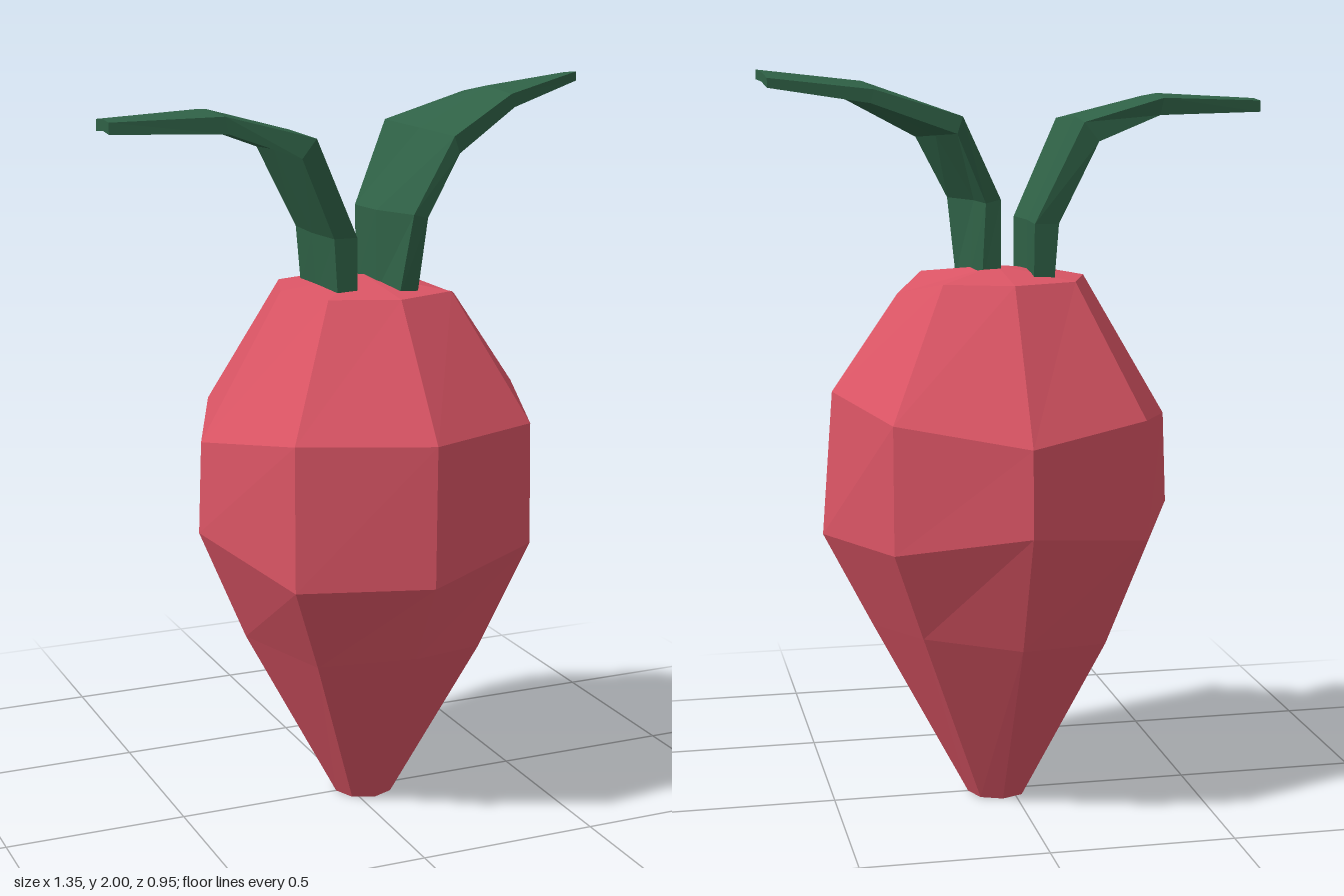
import * as THREE from 'three';

const rootRed = new THREE.MeshStandardMaterial({ color: 0xdb5565 });
rootRed.name = 'root red';
const leafGreen = new THREE.MeshStandardMaterial({ color: 0x2f6146 });
leafGreen.name = 'leaf green';

// Skin a list of closed rings and cap both ends with a fan around a centre point
function loft(rings, endCentre) {
  const pos = [];
  const tri = (...pts) => pts.forEach((p) => pos.push(...p));
  const n = rings[0].length;
  const middle = (ring) => [0, 1, 2].map((k) => ring.reduce((s, p) => s + p[k], 0) / n);
  const first = rings[0];
  const last = rings[rings.length - 1];
  const startMid = middle(first);
  const endMid = endCentre || middle(last);
  for (let j = 0; j < n; j++) {
    const k = (j + 1) % n;
    for (let i = 0; i < rings.length - 1; i++) {
      const lo = rings[i];
      const hi = rings[i + 1];
      tri(lo[j], lo[k], hi[k]);
      tri(lo[j], hi[k], hi[j]);
    }
    tri(first[k], first[j], startMid);
    tri(last[j], last[k], endMid);
  }
  const geometry = new THREE.BufferGeometry();
  geometry.setAttribute('position', new THREE.Float32BufferAttribute(pos, 3));
  geometry.computeVertexNormals(); // unshared corners give flat facets
  return geometry;
}

// Irregular eight-sided root; each ring lists radii and heights from the front round via +x
function createRoot() {
  const centreX = 0.04;
  const profile = [
    { r: Array(8).fill(0.083), y: Array(8).fill(0) },
    { r: [0.35, 0.34, 0.347, 0.35, 0.35, 0.35, 0.35, 0.33], y: [0.5, 0.47, 0.5, 0.52, 0.5, 0.48, 0.5, 0.47] },
    { r: [0.47, 0.48, 0.48, 0.475, 0.475, 0.475, 0.48, 0.475], y: [0.73, 0.78, 0.76, 0.77, 0.83, 0.78, 0.81, 0.72] },
    { r: [0.475, 0.475, 0.45, 0.475, 0.47, 0.47, 0.47, 0.475], y: [1.11, 1.11, 1.15, 1.11, 1.06, 1.1, 1.06, 1.11] },
    { r: [0.245, 0.25, 0.27, 0.25, 0.245, 0.25, 0.24, 0.25], y: [1.45, 1.45, 1.41, 1.45, 1.45, 1.45, 1.45, 1.45] },
  ];
  const rings = profile.map(({ r, y }) => r.map((radius, j) => {
    const a = (j * Math.PI) / 4;
    return [centreX + radius * Math.sin(a), y[j], radius * Math.cos(a)];
  }));
  const mesh = new THREE.Mesh(loft(rings, [centreX, 1.48, 0]), rootRed);
  mesh.name = 'root';
  return mesh;
}

// Leaf stations: back edge, midrib and front edge of the upper skin, then [dx, dy] to the underside
function createLeaf(name, stations, flip) {
  const rings = stations.map(([back, mid, front, [dx, dy]]) => {
    const under = [front, mid, back].map(([x, y, z]) => [x + dx, y + dy, z]);
    const ring = [back, mid, front, ...under];
    return flip ? ring.reverse() : ring;
  });
  const mesh = new THREE.Mesh(loft(rings), leafGreen);
  mesh.name = name;
  return mesh;
}

export function createModel() {
  const group = new THREE.Group();
  group.name = 'root vegetable';
  group.add(createRoot());

  group.add(createLeaf('leftLeaf', [
    [[0.035, 1.44, -0.04], [0.05, 1.44, 0.06], [0.07, 1.44, 0.165], [0.052, 0]],
    [[0.04, 1.66, -0.06], [0.05, 1.66, 0.06], [0.1, 1.66, 0.19], [0.04, -0.01]],
    [[0.15, 1.88, -0.11], [0.18, 1.87, 0.05], [0.21, 1.86, 0.2], [0.015, -0.045]],
    [[0.38, 1.95, -0.1], [0.4, 1.97, 0], [0.42, 1.955, 0.11], [0.01, -0.035]],
    [[0.655, 1.98, -0.095], [0.665, 1.995, -0.05], [0.675, 2, 0], [0, -0.025]],
  ], false));

  group.add(createLeaf('rightLeaf', [
    [[-0.035, 1.44, -0.13], [-0.042, 1.44, 0], [-0.035, 1.44, 0.13], [-0.055, 0]],
    [[-0.035, 1.6, -0.14], [-0.045, 1.6, 0], [-0.035, 1.6, 0.13], [-0.065, 0]],
    [[-0.16, 1.865, -0.17], [-0.175, 1.875, 0], [-0.16, 1.865, 0.16], [-0.04, -0.05]],
    [[-0.39, 1.925, -0.115], [-0.4, 1.935, 0], [-0.39, 1.925, 0.115], [0.01, -0.045]],
    [[-0.675, 1.915, -0.06], [-0.675, 1.92, 0], [-0.675, 1.915, 0.05], [0, -0.03]],
  ], true));

  return group;
}
